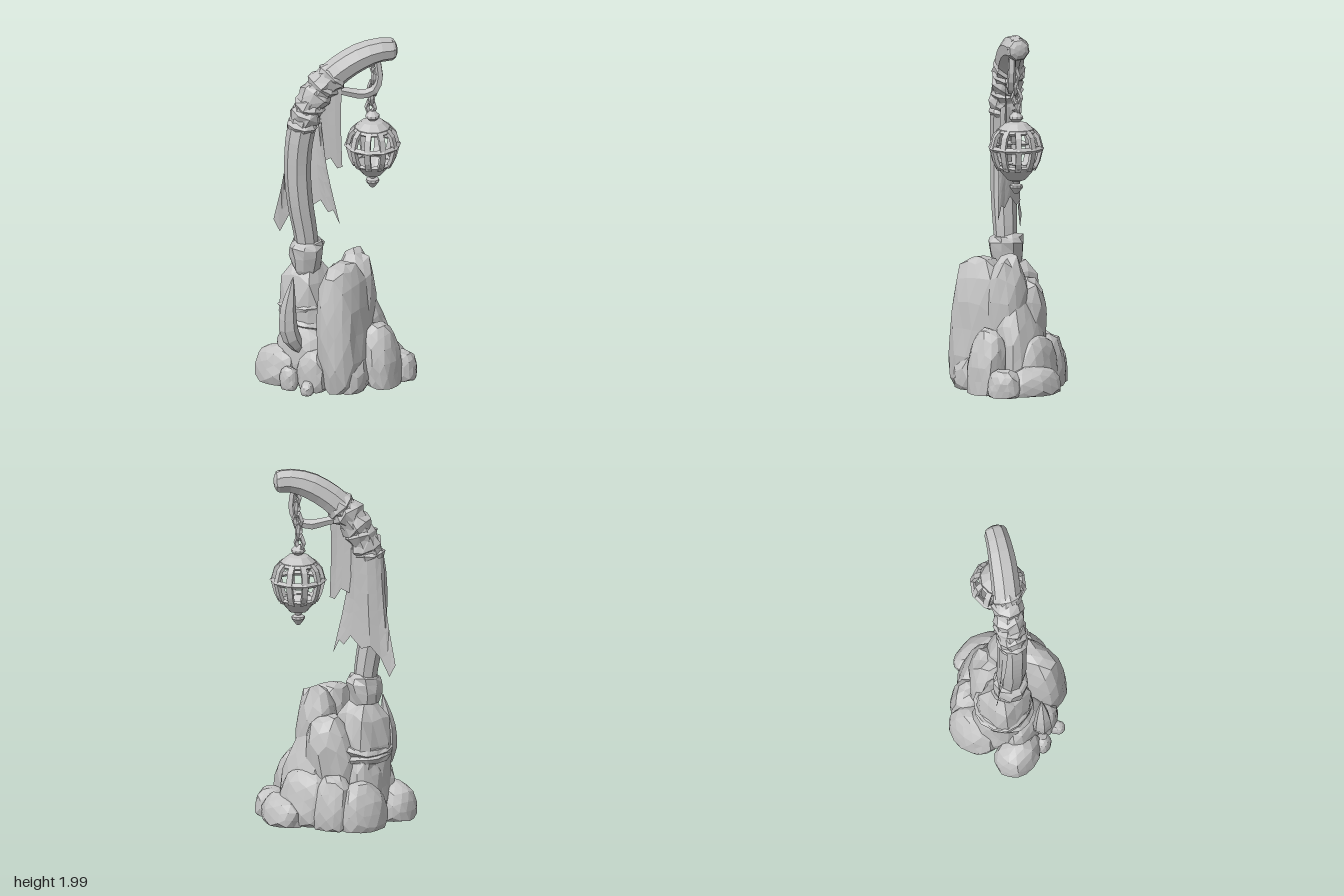
import * as THREE from 'three';
import { mergeVertices } from 'three/addons/utils/BufferGeometryUtils.js';

const stone = new THREE.MeshStandardMaterial({ color: 0xc4c4c4, flatShading: true, side: THREE.DoubleSide });
stone.name = 'grey';
const V = (p) => new THREE.Vector3(...p);

export function createModel() {
  const model = new THREE.Group();
  model.name = 'rockLanternPost';
  let seed = 7;
  const rand = () => (seed = (seed * 16807) % 2147483647) / 2147483647 - 0.5;

  const add = (name, geo, parent = model) => {
    const mesh = new THREE.Mesh(geo, stone);
    mesh.name = name;
    parent.add(mesh);
    return mesh;
  };
  const facet = (geo) => {
    const g = geo.index ? geo.toNonIndexed() : geo;
    g.computeVertexNormals();
    return g;
  };
  // weld the geometry, then nudge every vertex a little
  const rough = (geo, amount, rule = () => {}) => {
    geo.deleteAttribute('normal');
    geo.deleteAttribute('uv');
    const g = mergeVertices(geo, 1e-4);
    const p = g.attributes.position, v = new THREE.Vector3();
    for (let i = 0; i < p.count; i++) {
      v.fromBufferAttribute(p, i);
      rule(v);
      v.x += rand() * amount; v.y += rand() * amount; v.z += rand() * amount;
      p.setXYZ(i, v.x, v.y, v.z);
    }
    return facet(g);
  };

  // the base is an open shell: drop faces on the ground or inside its hollow
  const hollow = (geo) => {
    const a = geo.attributes.position.array, keep = [];
    for (let i = 0; i < a.length; i += 9) {
      const mid = (k) => (a[i + k] + a[i + 3 + k] + a[i + 6 + k]) / 3;
      const inside = mid(1) < 0.13 && (mid(0) / 0.2) ** 2 + (mid(2) / 0.22) ** 2 < 1;
      if (mid(1) > 1e-5 && !inside) keep.push(...a.subarray(i, i + 9));
    }
    const g = new THREE.BufferGeometry();
    g.setAttribute('position', new THREE.Float32BufferAttribute(keep, 3));
    return facet(g);
  };

  // boulder: squared-off sphere, turned, leaned and cut at the ground
  const rock = (name, [x, y, z], [a, b, c], turn = 0, leanX = 0, leanZ = 0, power = 2.5) => {
    const e = new THREE.Euler(leanX, turn, leanZ), size = new THREE.Vector3(a, b, c);
    const g = rough(new THREE.IcosahedronGeometry(1, 2), 0, (v) => {
      const n = Math.pow(Math.abs(v.x) ** power + Math.abs(v.y) ** power + Math.abs(v.z) ** power, -1 / power);
      v.multiplyScalar(n * (1 + rand() * 0.12)).multiply(size).applyEuler(e);
      v.x += x; v.y = Math.max(0, v.y + y); v.z += z;
    });
    return add(name, hollow(g));
  };

  // tube whose radius follows a list
  const taper = (path, radii, segs, sides) => {
    const curve = new THREE.CatmullRomCurve3(path.map(V));
    const g = new THREE.TubeGeometry(curve, segs, 1, sides);
    const p = g.attributes.position, v = new THREE.Vector3();
    for (let i = 0; i < p.count; i++) {
      const t = Math.floor(i / (sides + 1)) / segs, f = t * (radii.length - 1);
      const k = Math.min(Math.floor(f), radii.length - 2);
      const r = THREE.MathUtils.lerp(radii[k], radii[k + 1], f - k), c = curve.getPointAt(t);
      v.fromBufferAttribute(p, i).sub(c).multiplyScalar(r).add(c);
      p.setXYZ(i, v.x, v.y, v.z);
    }
    return { g: facet(g), curve };
  };

  // --- rock base ---
  rock('tallFrontRock', [0.165, 0.33, 0.095], [0.108, 0.39, 0.16], 0.25, -0.03, 0.06, 3);
  rock('tallBackRock', [0.09, 0.36, -0.045], [0.12, 0.385, 0.12], 0.5, -0.08, 0, 2.5);
  rock('poleRock', [-0.105, 0.3, 0.12], [0.135, 0.38, 0.13], 0.1, 0, 0, 3.6);
  rock('poleRockBack', [-0.05, 0.28, -0.04], [0.14, 0.33, 0.12], 0.9, -0.1, -0.1);
  rock('backSlab', [0.06, 0.24, -0.14], [0.15, 0.3, 0.1], 0.2, 0.22, 0.1);
  rock('backMidRock', [0.0, 0.14, -0.19], [0.16, 0.18, 0.1], 0.3, 0.2, 0);
  rock('backLowSlab', [0.1, 0.04, -0.28], [0.17, 0.12, 0.105], -0.15, 0.15, 0, 2.1);
  rock('backCornerRock', [0.27, 0.04, -0.24], [0.085, 0.11, 0.09], 0.6);
  rock('leftRock', [0.27, 0.14, -0.09], [0.085, 0.22, 0.11], 0.1, 0, 0.15);
  rock('leftFootRock', [0.2, 0.07, 0.06], [0.09, 0.14, 0.13], 0.5);
  rock('rightRock', [-0.25, 0.08, 0.02], [0.105, 0.19, 0.15], 0.15, 0, -0.15, 2.1);
  rock('rightUpperRock', [-0.17, 0.2, 0.1], [0.09, 0.23, 0.13], 0.3, 0, -0.08);
  rock('rightBackRock', [-0.16, 0.1, -0.12], [0.11, 0.2, 0.09], 0.6, 0.1, 0);
  rock('frontRock', [-0.16, 0.06, 0.28], [0.14, 0.15, 0.11], 0.1, 0, 0, 2.2);
  rock('frontUpperRock', [-0.05, 0.16, 0.2], [0.15, 0.19, 0.1], 0.2);
  rock('frontPebble', [-0.02, 0.05, 0.33], [0.05, 0.08, 0.045], 0.4);
  rock('frontLeftRock', [0.07, 0.08, 0.23], [0.09, 0.15, 0.08], 0.2);
  rock('frontLeftPebble', [0.105, 0.025, 0.31], [0.035, 0.05, 0.045], 0.7);
  const ceiling = add('baseHollowCeiling', new THREE.CircleGeometry(1, 12));
  ceiling.position.y = 0.13;
  ceiling.rotation.x = Math.PI / 2;
  ceiling.scale.set(0.21, 0.23, 1);

  // upright horn leaning on the front of the rocks
  add('hornSpike', taper([[0, 0.2, 0.25], [-0.02, 0.32, 0.325], [-0.025, 0.45, 0.335], [-0.01, 0.66, 0.31]],
    [0.02, 0.05, 0.052, 0.045, 0.028, 0.002], 8, 6).g);

  // ropes slung around the pole rock
  for (const [y, tilt, r] of [[0.43, 0.15, 0.137], [0.36, -0.15, 0.142]]) {
    const rope = add('rockRope', rough(new THREE.TorusGeometry(r, 0.025, 5, 14), 0.015));
    rope.position.set(-0.105, y, 0.11);
    rope.rotation.set(Math.PI / 2, tilt, 0);
  }

  // --- curved post with a blunt rounded end ---
  const post = taper([[-0.08, 0.62, 0.13], [-0.085, 0.85, 0.15], [-0.1, 1.05, 0.178], [-0.11, 1.25, 0.187],
    [-0.1, 1.45, 0.175], [-0.08, 1.6, 0.135], [-0.04, 1.72, 0.075], [0.02, 1.82, -0.005],
    [0.09, 1.895, -0.105], [0.14, 1.922, -0.185], [0.175, 1.922, -0.25]],
  [0.06, 0.064, 0.07, 0.073, 0.075, 0.078, 0.08, 0.08, 0.077, 0.064], 26, 8);
  add('post', post.g);
  const tip = add('postTip', facet(new THREE.SphereGeometry(0.064, 8, 3, 0, Math.PI * 2, 0, Math.PI / 2)));
  tip.position.copy(post.curve.getPointAt(1));
  tip.quaternion.setFromUnitVectors(V([0, 1, 0]), post.curve.getTangentAt(1));
  tip.scale.y = 0.5;

  // flared cloth collar at the foot of the post
  const collar = add('collar', rough(new THREE.LatheGeometry(
    [[0.05, 0.6], [0.08, 0.65], [0.095, 0.73], [0.1, 0.78], [0.085, 0.81], [0.06, 0.82]].map((p) => new THREE.Vector2(...p)), 9), 0.018));
  collar.position.set(-0.085, 0, 0.14);

  // cloth bands wound around the post: height, ring radius, thickness, width factor, tilt
  const bands = [[1.5, 0.07, 0.017, 1.6, 0.2], [1.55, 0.068, 0.022, 2, -0.15], [1.61, 0.07, 0.022, 2, 0.2],
    [1.67, 0.072, 0.023, 2, -0.2], [1.73, 0.073, 0.022, 1.8, 0.15], [1.78, 0.072, 0.02, 1.5, -0.2]];
  for (const [y, r, tube, wide, tilt] of bands) {
    let t = 0;
    while (post.curve.getPointAt(t).y < y) t += 0.005;
    const band = add('clothBand', rough(new THREE.TorusGeometry(r, tube, 4, 9), 0.013));
    band.position.copy(post.curve.getPointAt(t));
    band.quaternion.setFromUnitVectors(V([0, 0, 1]), post.curve.getTangentAt(t));
    band.rotateX(tilt);
    band.scale.z = wide;
  }

  // --- ragged cloth: each column is a polyline from top to hem ---
  const sheet = (name, columns, rows = 6) => {
    const curves = columns.map((c) => new THREE.CatmullRomCurve3(c.map(V)));
    const pos = [], idx = [];
    curves.forEach((c, i) => {
      for (let j = 0; j <= rows; j++) {
        pos.push(...c.getPoint(j / rows).toArray());
        if (i && j) {
          const a = i * (rows + 1) + j, b = a - rows - 1;
          idx.push(b - 1, b, a, b - 1, a, a - 1);
        }
      }
    });
    const g = new THREE.BufferGeometry();
    g.setAttribute('position', new THREE.Float32BufferAttribute(pos, 3));
    g.setIndex(idx);
    add(name, facet(g));
  };
  sheet('longCloth', [
    [[-0.17, 1.5, 0.21], [-0.195, 1.2, 0.21], [-0.27, 0.9, 0.22]],
    [[-0.18, 1.5, 0.18], [-0.2, 1.2, 0.19], [-0.24, 0.83, 0.2]],
    [[-0.175, 1.5, 0.15], [-0.185, 1.2, 0.16], [-0.2, 0.93, 0.17]],
    [[-0.15, 1.51, 0.11], [-0.16, 1.2, 0.115], [-0.17, 1.0, 0.12]],
    [[-0.11, 1.52, 0.085], [-0.115, 1.2, 0.095], [-0.12, 0.98, 0.095]],
    [[-0.07, 1.53, 0.075], [-0.07, 1.25, 0.08], [-0.05, 1.04, 0.07]],
    [[-0.04, 1.54, 0.08], [-0.03, 1.25, 0.08], [0.0, 0.98, 0.06]],
    [[-0.02, 1.54, 0.095], [0.0, 1.25, 0.08], [0.03, 1.0, 0.05]],
    [[-0.01, 1.53, 0.105], [0.02, 1.25, 0.085], [0.07, 0.92, 0.035]],
  ]);
  sheet('shortCloth', [
    [[-0.05, 1.68, 0.1], [-0.045, 1.5, 0.09], [-0.03, 1.28, 0.075]],
    [[-0.01, 1.72, 0.06], [-0.005, 1.5, 0.055], [0.005, 1.3, 0.045]],
    [[0.02, 1.75, 0.03], [0.025, 1.5, 0.03], [0.03, 1.24, 0.02]],
    [[0.045, 1.77, 0.0], [0.045, 1.5, 0.005], [0.05, 1.25, 0.0]],
  ]);

  // --- hanging strap and chain ---
  add('strap', taper([[-0.02, 1.71, 0.05], [0.04, 1.69, -0.03], [0.09, 1.67, -0.1], [0.14, 1.69, -0.15],
    [0.16, 1.76, -0.175], [0.15, 1.87, -0.17]], [0.02, 0.024, 0.028, 0.026, 0.022, 0.02], 10, 5).g);
  for (let i = 0; i < 5; i++) {
    const link = add('chainLink', new THREE.TorusGeometry(0.022, 0.014, 4, 6));
    link.position.set(0.1 + i * 0.01, 1.575 + i * 0.062, -0.165);
    link.rotation.y = 0.6 + (i % 2) * Math.PI / 2;
    link.scale.y = 1.6;
  }

  // --- lantern ---
  const lantern = new THREE.Group();
  lantern.name = 'lantern';
  lantern.position.set(0.115, 0, -0.165);
  model.add(lantern);
  const sides = 10;
  const lathe = (name, pts) => add(name, facet(new THREE.LatheGeometry(pts.map((p) => new THREE.Vector2(...p)), sides)), lantern);
  lathe('lanternCap', [[0.1, 1.447], [0.098, 1.465], [0.06, 1.497], [0.022, 1.505], [0.04, 1.522], [0.038, 1.535], [0.014, 1.56], [0, 1.56]]);
  lathe('lanternBowl', [[0, 1.1], [0.012, 1.105], [0.038, 1.14], [0.036, 1.152], [0.016, 1.16], [0.024, 1.175], [0.05, 1.182], [0.1, 1.24], [0.108, 1.265]]);
  const profile = [[0.095, 1.455], [0.122, 1.425], [0.14, 1.36], [0.122, 1.29], [0.1, 1.245]];
  for (let i = 0; i < sides; i++) {
    const rib = new THREE.Group();
    rib.name = 'lanternRib';
    rib.rotation.y = (i / sides) * Math.PI * 2 + Math.PI / 2;
    lantern.add(rib);
    for (let k = 1; k < profile.length; k++) {
      const [r0, y0] = profile[k - 1], [r1, y1] = profile[k];
      const bar = add('ribBar', new THREE.BoxGeometry(0.02, Math.hypot(r1 - r0, y1 - y0) + 0.006, 0.032), rib);
      bar.position.set((r0 + r1) / 2, (y0 + y1) / 2, 0);
      bar.rotation.z = Math.atan2(r0 - r1, y1 - y0);
    }
  }
  for (const [r, y, tube] of [[0.1, 1.45, 0.012], [0.142, 1.36, 0.016], [0.107, 1.255, 0.012]]) {
    const ring = add('lanternRing', facet(new THREE.TorusGeometry(r, tube, 4, sides)), lantern);
    ring.position.y = y;
    ring.rotation.set(Math.PI / 2, 0, Math.PI / 2);
  }
  return model;
}
